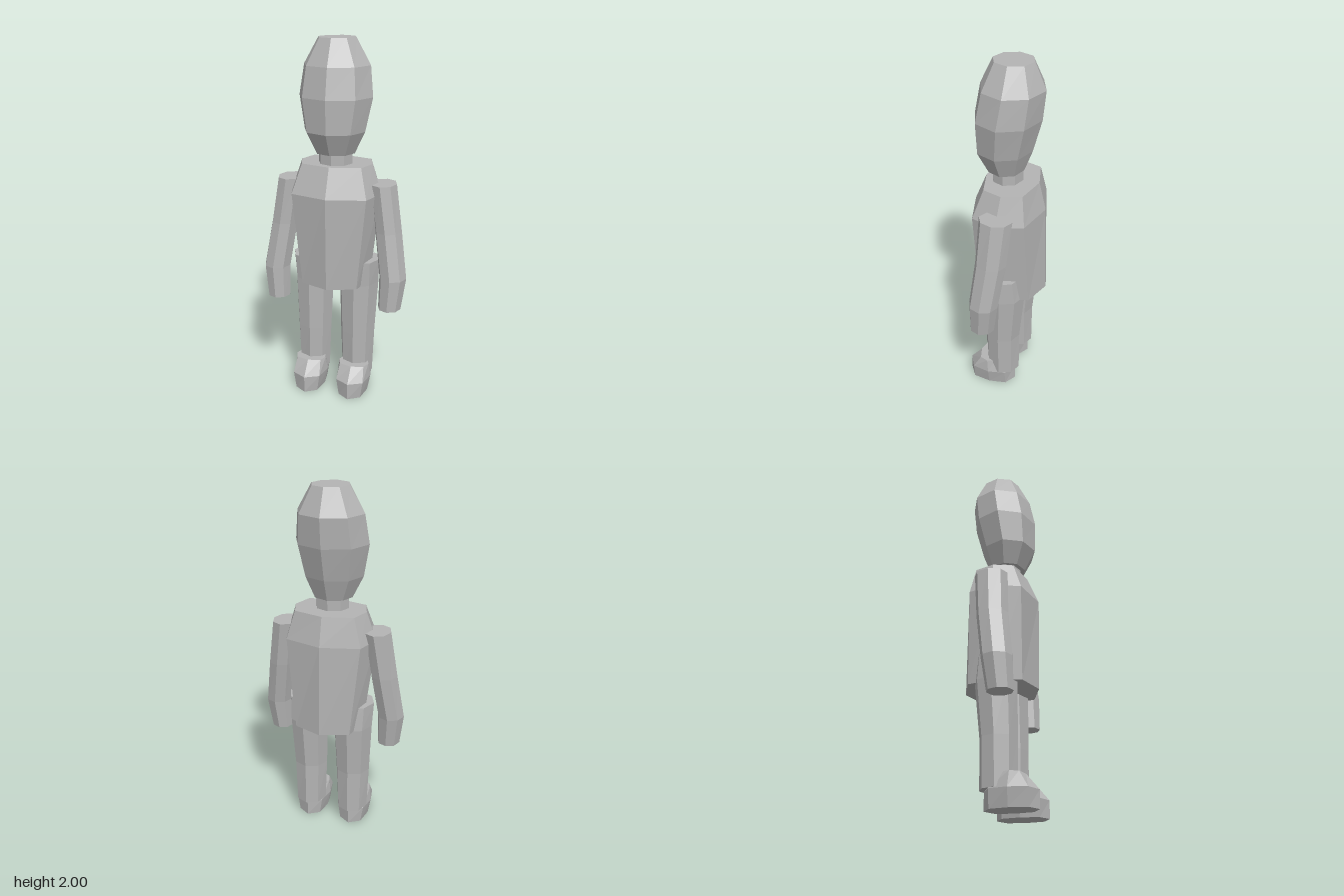
import * as THREE from 'three';

const SIDES = 8;
const grey = new THREE.MeshStandardMaterial({ color: 0xb4b4b4, flatShading: true });
grey.name = 'matte grey';

// Closed faceted loft. Each ring: [y, centreX, centreZ, radiusX, radiusZ], bottom to top.
// diagX and diagZ place the four corner points as fractions of the radii.
function loft(name, rings, diagX = 0.707, diagZ = 0.707) {
  const positions = [];
  const point = ([y, cx, cz, rx, rz], k) => {
    const a = (k % SIDES) * Math.PI * 2 / SIDES;
    const corner = k % 2 === 1;
    const sx = corner ? Math.sign(Math.sin(a)) * diagX : Math.sin(a);
    const sz = corner ? Math.sign(Math.cos(a)) * diagZ : Math.cos(a);
    return [cx + rx * sx, y, cz + rz * sz];
  };
  const triangle = (...corners) => corners.forEach(c => positions.push(...c));
  const bottom = rings[0], top = rings[rings.length - 1];
  for (let k = 0; k < SIDES; k++) {
    for (let i = 0; i < rings.length - 1; i++) {
      const a = point(rings[i], k), b = point(rings[i], k + 1);
      const c = point(rings[i + 1], k + 1), d = point(rings[i + 1], k);
      triangle(a, b, c);
      triangle(a, c, d);
    }
    triangle([top[1], top[0], top[2]], point(top, k), point(top, k + 1));
    triangle([bottom[1], bottom[0], bottom[2]], point(bottom, k + 1), point(bottom, k));
  }
  const geometry = new THREE.BufferGeometry();
  geometry.setAttribute('position', new THREE.Float32BufferAttribute(positions, 3));
  geometry.computeVertexNormals();
  const mesh = new THREE.Mesh(geometry, grey);
  mesh.name = name;
  return mesh;
}

export function createModel() {
  const model = new THREE.Group();
  model.name = 'figure';

  // Head, leaning slightly back toward the crown
  model.add(loft('head', [
    [1.40, 0, 0.025, 0.11, 0.1],
    [1.52, 0, 0.033, 0.168, 0.153],
    [1.70, 0, 0.012, 0.203, 0.18],
    [1.86, 0, -0.012, 0.183, 0.172],
    [2.00, 0, -0.016, 0.103, 0.108],
  ]));

  model.add(loft('neck', [
    [1.30, 0, 0.015, 0.094, 0.085],
    [1.42, 0, 0.015, 0.094, 0.085],
  ]));

  // Torso with sloping shoulders
  model.add(loft('torso', [
    [0.66, 0, -0.01, 0.192, 0.203],
    [1.18, 0, 0.002, 0.255, 0.2],
    [1.34, 0, -0.012, 0.202, 0.148],
  ], 0.82, 0.72));

  // Paired limbs
  for (const [label, s] of [['left', 1], ['right', -1]]) {
    model.add(loft(label + 'Arm', [
      [0.54, s * 0.328, 0.06, 0.064, 0.07],
      [0.72, s * 0.34, 0.045, 0.076, 0.082],
      [0.98, s * 0.302, 0.012, 0.075, 0.086],
      [1.24, s * 0.265, -0.006, 0.073, 0.091],
    ]));

    model.add(loft(label + 'Leg', [
      [0.10, s * 0.13, 0.004, 0.09, 0.098],
      [0.36, s * 0.13, 0.004, 0.1, 0.1],
      [0.66, s * 0.132, -0.01, 0.113, 0.115],
      [0.80, s * 0.132, 0, 0.12, 0.112],
    ]));

    // Foot, with the instep rising to the ankle
    model.add(loft(label + 'Foot', [
      [0, s * 0.13, 0.07, 0.08, 0.14],
      [0.095, s * 0.13, 0.07, 0.098, 0.14],
      [0.175, s * 0.13, 0.078, 0.088, 0.065],
    ], 0.8));
  }
  return model;
}
